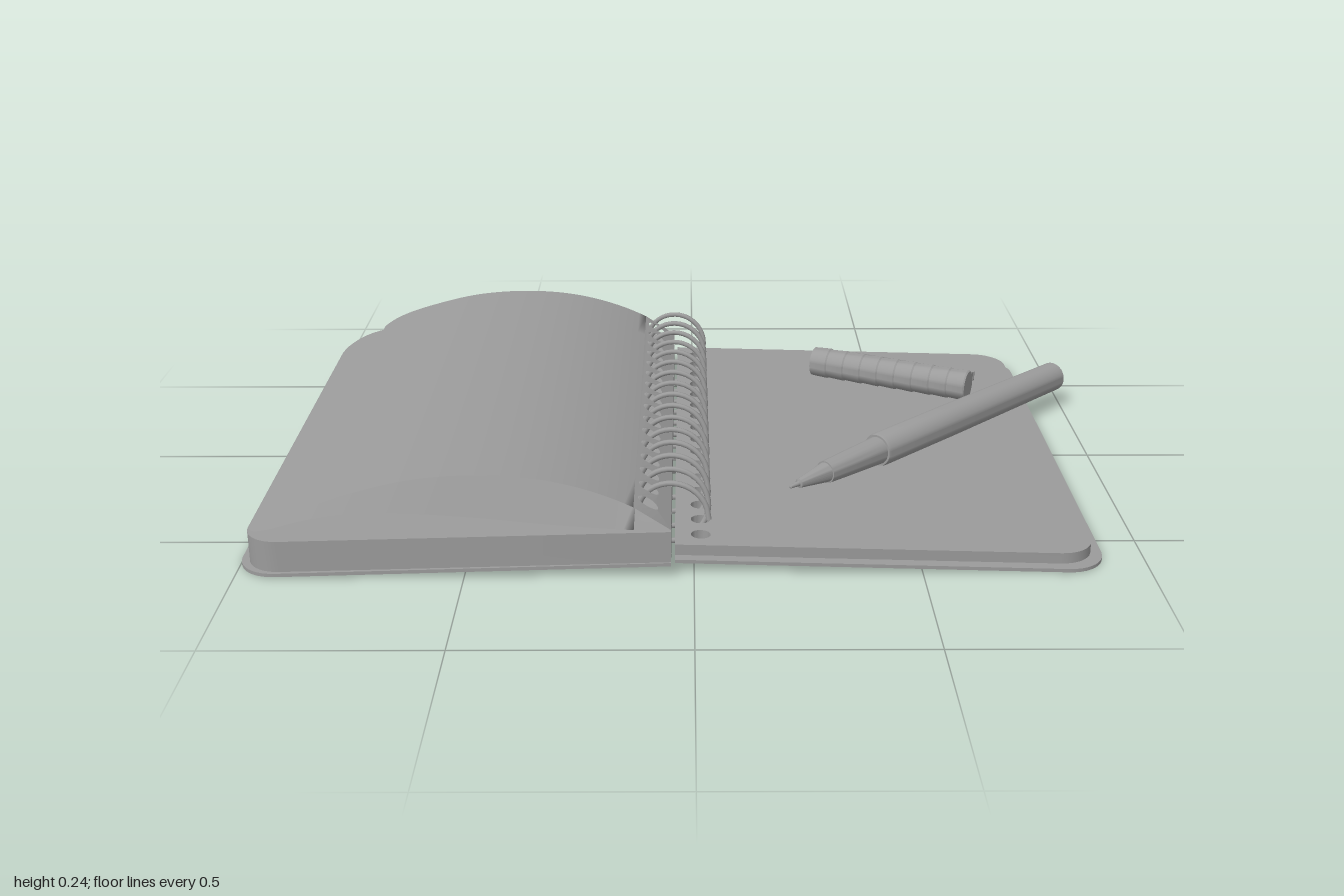
import * as THREE from 'three';
import { mergeGeometries, mergeVertices, toCreasedNormals } from 'three/addons/utils/BufferGeometryUtils.js';

const grey = new THREE.MeshStandardMaterial({ color: 0x9b9b9b, side: THREE.DoubleSide });
const PITCH = 0.079, HOLES = 16, HOLE_R = 0.022;

function mesh(name, geometry) {
  const m = new THREE.Mesh(geometry, grey);
  m.name = name;
  return m;
}

// Punch the row of binding holes (shape y is -z)
function punch(shape, x, z0) {
  for (let i = 0; i < HOLES; i++) {
    const hole = new THREE.Path();
    hole.absarc(x, -(z0 + i * PITCH), HOLE_R, 0, Math.PI * 2, true);
    shape.holes.push(hole);
  }
}

// Flat slab, square at the spine, rounded outside, sloping from yIn to yOut
function slab({ xIn, xOut, z0, z1, r, thick, yIn, yOut, holes }) {
  const s = Math.sign(xOut - xIn);
  const shape = new THREE.Shape();
  shape.moveTo(xIn, -z0);
  shape.lineTo(xOut - s * r, -z0);
  shape.bezierCurveTo(xOut - s * r * 0.45, -z0, xOut, -z0 - r * 0.45, xOut, -z0 - r);
  shape.lineTo(xOut, -z1 + r);
  shape.bezierCurveTo(xOut, -z1 + r * 0.45, xOut - s * r * 0.45, -z1, xOut - s * r, -z1);
  shape.lineTo(xIn, -z1);
  shape.closePath();
  if (holes) punch(shape, ...holes);
  const g = new THREE.ExtrudeGeometry(shape, { depth: thick, bevelEnabled: false, curveSegments: 10 });
  g.rotateX(-Math.PI / 2);
  const p = g.attributes.position;
  for (let i = 0; i < p.count; i++) {
    const t = (p.getX(i) - xIn) / (xOut - xIn);
    p.setY(i, p.getY(i) + yIn + (yOut - yIn) * t);
  }
  return toCreasedNormals(g, 0.6);
}

// Bowed sheet: a punched strip by the spine and a curved grid with rounded corners
function sheet(profile, z0, z1, r) {
  const curve = new THREE.CatmullRomCurve3(profile.map(([x, y]) => new THREE.Vector3(x, y, 0)));
  const pts = curve.getPoints(150);
  const heightAt = (x) => {
    let i = 1;
    while (i < pts.length - 1 && pts[i].x > x) i++;
    const a = pts[i - 1], b = pts[i];
    return a.y + (b.y - a.y) * (x - a.x) / (b.x - a.x);
  };
  const xIn = profile[0][0], xOut = profile[profile.length - 1][0], xStrip = -0.13;

  const strip = new THREE.Shape();
  strip.moveTo(xStrip, -z1);
  strip.lineTo(xIn, -z1);
  strip.lineTo(xIn, -z0);
  strip.lineTo(xStrip, -z0);
  strip.closePath();
  punch(strip, -0.1, -0.57);
  const stripGeo = new THREE.ShapeGeometry(strip, 10).rotateX(-Math.PI / 2);

  const grid = new THREE.PlaneGeometry(1, 1, 60, 8).rotateX(-Math.PI / 2);
  const p = grid.attributes.position;
  for (let i = 0; i < p.count; i++) {
    // columns crowd together towards the rounded outer corners
    const t = Math.sin((0.5 - p.getX(i)) * Math.PI / 2);
    const x = xStrip + (xOut - xStrip) * t;
    const d = Math.max(0, r - (x - xOut));
    const inset = r - Math.sqrt(Math.max(0, r * r - d * d));
    const a = z0 + inset, b = z1 - inset;
    p.setXYZ(i, x, 0, a + (b - a) * (p.getZ(i) + 0.5));
  }
  const parts = [stripGeo, grid].map((g) => {
    const q = g.attributes.position;
    for (let i = 0; i < q.count; i++) q.setY(i, heightAt(q.getX(i)));
    g.deleteAttribute('uv');
    g.deleteAttribute('normal');
    return g;
  });
  // the grid's columns run towards -x, so its faces are turned to face up
  const idx = parts[1].index;
  for (let i = 0; i < idx.count; i += 3) {
    const a = idx.getX(i);
    idx.setX(i, idx.getX(i + 1));
    idx.setX(i + 1, a);
  }
  const g = mergeVertices(mergeGeometries(parts));
  g.computeVertexNormals();
  return g;
}

// Turned part lying along +x, from [distance, radius] pairs
function turned(profile) {
  const g = new THREE.LatheGeometry(profile.map(([d, r]) => new THREE.Vector2(r, d)), 32);
  return toCreasedNormals(g.rotateZ(-Math.PI / 2), 0.5);
}

// Lay a group built along +x between two points
function layBetween(group, from, to) {
  const d = to.clone().sub(from);
  group.position.copy(from);
  group.rotation.set(0, -Math.atan2(d.z, d.x), Math.atan2(d.y, Math.hypot(d.x, d.z)));
  return group;
}

export function createModel() {
  const model = new THREE.Group();
  model.name = 'spiralNotebookWithPen';

  // Covers and page stacks
  const left = { xIn: -0.05 };
  const right = { xIn: -0.042, holes: [0.015, -0.6] };
  model.add(
    mesh('leftCover', slab({ ...left, holes: [-0.1, -0.57], xOut: -1, z0: -0.665, z1: 0.68, r: 0.09, thick: 0.008, yIn: 0.027, yOut: 0 })),
    mesh('leftPages', slab({ ...left, xOut: -0.98, z0: -0.625, z1: 0.678, r: 0.08, thick: 0.072, yIn: 0.036, yOut: 0.012 })),
    mesh('rightCover', slab({ ...right, xOut: 0.908, z0: -0.682, z1: 0.664, r: 0.09, thick: 0.008, yIn: 0.027, yOut: 0 })),
    mesh('rightPages', slab({ ...right, xOut: 0.885, z0: -0.66, z1: 0.64, r: 0.08, thick: 0.025, yIn: 0.035, yOut: 0.01 })),
  );

  // Loose sheets bowing up from the left stack
  model.add(
    mesh('lowerSheet', sheet([[-0.05, 0.111], [-0.15, 0.114], [-0.31, 0.126], [-0.475, 0.143], [-0.65, 0.153],
      [-0.8, 0.144], [-0.92, 0.113], [-0.975, 0.09]], -0.622, 0.678, 0.08)),
    mesh('upperSheet', sheet([[-0.05, 0.113], [-0.1, 0.15], [-0.2, 0.197], [-0.32, 0.23], [-0.45, 0.242],
      [-0.6, 0.232], [-0.74, 0.198], [-0.86, 0.156]], -0.622, 0.678, 0.07)),
  );

  // Wire spiral
  const turns = 15.5, coil = [];
  for (let i = 0; i <= turns * 16; i++) {
    const n = i / 16, a = Math.PI - n * Math.PI * 2;
    coil.push(new THREE.Vector3(-0.046 + 0.079 * Math.cos(a), 0.09 + 0.079 * Math.sin(a), -0.649 + n * PITCH));
  }
  model.add(mesh('wireSpiral', new THREE.TubeGeometry(new THREE.CatmullRomCurve3(coil), 560, 0.0065, 8)));

  // Pen
  const pen = new THREE.Group();
  pen.name = 'pen';
  pen.add(
    mesh('penTip', turned([[0, 0], [0.002, 0.004], [0.03, 0.006], [0.032, 0.011], [0.125, 0.024], [0.125, 0]])),
    mesh('penGrip', turned([[0.125, 0], [0.125, 0.027], [0.2, 0.03], [0.32, 0.034], [0.32, 0]])),
    mesh('penBarrel', turned([[0.318, 0], [0.318, 0.039], [0.326, 0.041], [0.6, 0.041], [1.07, 0.038], [1.073, 0.036], [1.073, 0]])),
  );
  model.add(layBetween(pen, new THREE.Vector3(0.222, 0.09, 0.4), new THREE.Vector3(0.974, 0.08, -0.36)));

  // Ribbed cap with its clip
  const cap = new THREE.Group();
  cap.name = 'penCap';
  const length = 0.44, ribs = 9, step = length / ribs;
  const ribbed = [[0, 0]];
  for (let i = 0; i < ribs; i++) {
    ribbed.push([i * step, 0.0385], [(i + 1) * step - 0.004, 0.041], [(i + 1) * step, 0.0385]);
  }
  ribbed.push([length, 0]);
  const clip = mesh('capClip', new THREE.BoxGeometry(0.34, 0.024, 0.007));
  clip.position.set(0.272, 0.014, -0.047);
  clip.rotation.y = -0.02;
  const clipRoot = mesh('capClipRoot', new THREE.BoxGeometry(0.03, 0.024, 0.02));
  clipRoot.position.set(0.425, 0.014, -0.038);
  cap.add(mesh('capBody', turned(ribbed)), clip, clipRoot);
  model.add(layBetween(cap, new THREE.Vector3(0.338, 0.086, -0.47), new THREE.Vector3(0.737, 0.083, -0.28)));

  return model;
}
